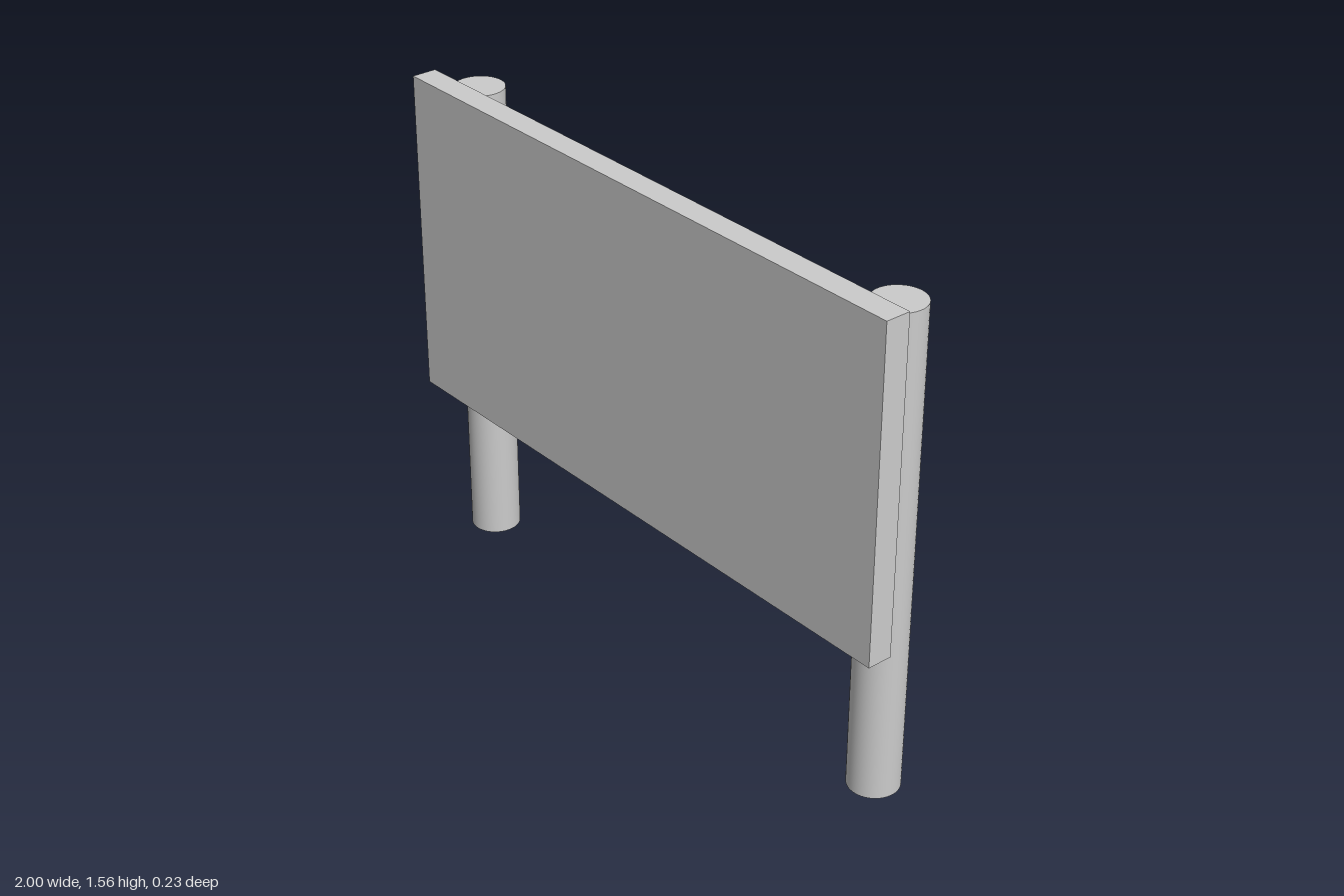
import * as THREE from 'three';

export function createModel() {
  const group = new THREE.Group();
  const material = new THREE.MeshStandardMaterial({ color: 0xcccccc });

  // Flat sign board, mounted on the front of the posts
  const bottom = 0.525, top = 1.561, thickness = 0.079;
  const board = new THREE.Mesh(new THREE.BoxGeometry(2, top - bottom, thickness), material);
  board.name = 'board';
  board.position.set(0, (top + bottom) / 2, 0.078);
  group.add(board);

  // Round posts, mirrored left and right
  const radius = 0.078, height = 1.524;
  const postGeometry = new THREE.CylinderGeometry(radius, radius, height, 48);
  for (const side of [1, -1]) {
    const post = new THREE.Mesh(postGeometry, material);
    post.name = side > 0 ? 'leftPost' : 'rightPost';
    post.position.set(side * 0.886, height / 2, -0.0395);
    group.add(post);
  }

  return group;
}
